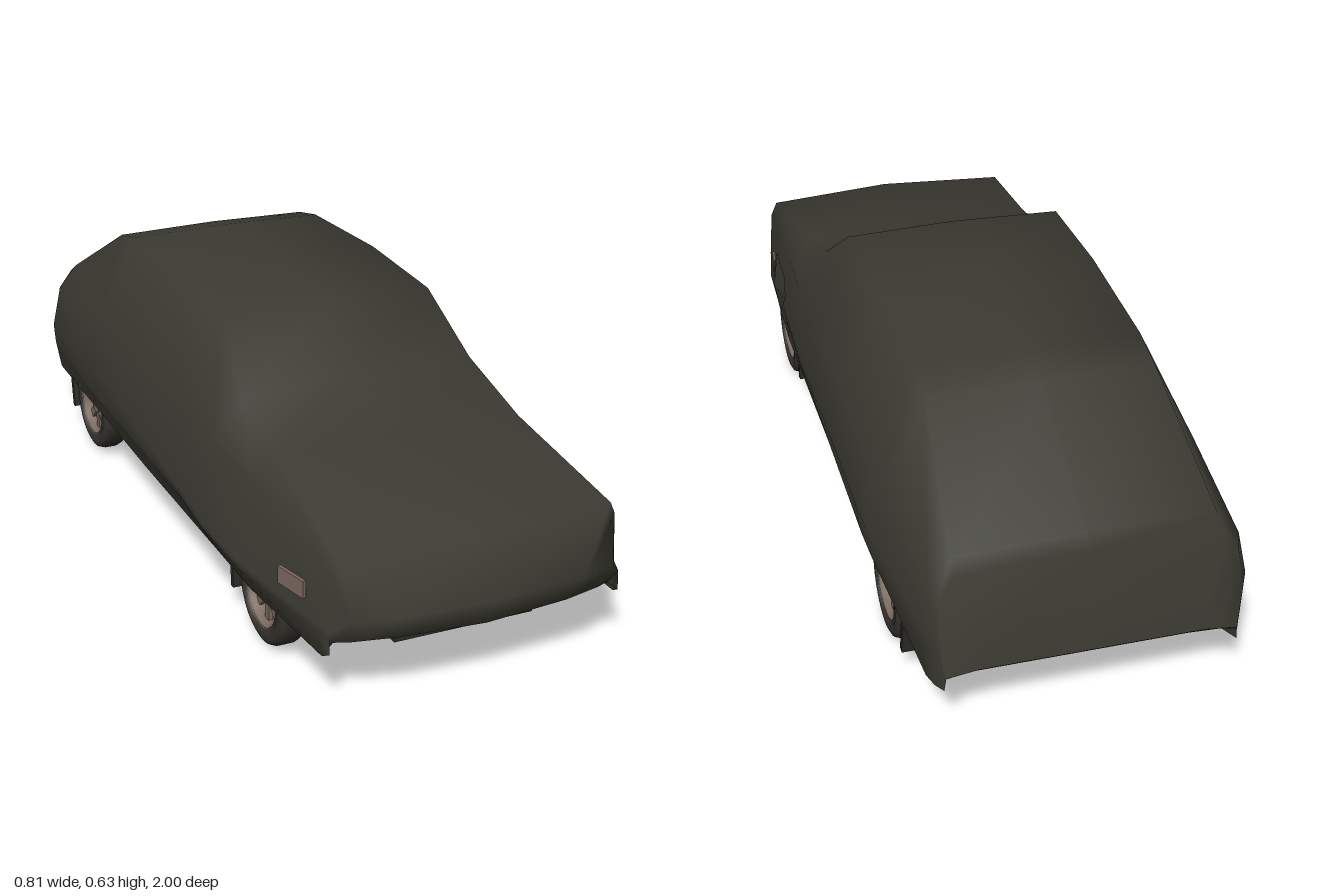
import * as THREE from 'three';

export function createModel() {
  const car = new THREE.Group();
  const mat = (name, color, side = THREE.FrontSide) => {
    const m = new THREE.MeshStandardMaterial({ color, side });
    m.name = name;
    return m;
  };
  const cloth = mat('coverCloth', 0x3b3a32, THREE.DoubleSide);
  const dark = mat('underbodyDark', 0x2d2c27);
  const rubber = mat('tyreRubber', 0x36342e);
  const metal = mat('dustyMetal', 0x7d6b60, THREE.DoubleSide);

  const add = (name, geo, material, x = 0, y = 0, z = 0, parent = car) => {
    const mesh = new THREE.Mesh(geo, material);
    mesh.name = name;
    mesh.position.set(x, y, z);
    parent.add(mesh);
    return mesh;
  };
  const box = (name, w, h, d, x, y, z, material = dark) =>
    add(name, new THREE.BoxGeometry(w, h, d), material, x, y, z);
  const rod = (name, r, points, material = dark) =>
    add(name, new THREE.TubeGeometry(new THREE.CatmullRomCurve3(
      points.map(p => new THREE.Vector3(...p))), 16, r, 8), material);

  // Draped cover: one cross-section per row, nose to tail.
  // z, bow, topY, cornerX, cornerY, beltX, beltY, wide -x, wide +x, wideY, hemX, hemY
  const sections = [
    [0.955, 0.07, 0.155, 0.2, 0.163, 0.3, 0.16, 0.335, 0.335, 0.157, 0.34, 0.148],
    [1.0, 0.09, 0.23, 0.22, 0.23, 0.315, 0.22, 0.35, 0.345, 0.19, 0.35, 0.14],
    [0.94, 0.05, 0.355, 0.325, 0.352, 0.342, 0.32, 0.362, 0.352, 0.2, 0.355, 0.125],
    [0.54, 0, 0.43, 0.305, 0.418, 0.355, 0.36, 0.408, 0.374, 0.2, 0.368, 0.113],
    [0.32, 0, 0.5, 0.295, 0.487, 0.368, 0.38, 0.406, 0.382, 0.195, 0.368, 0.117],
    [0.15, 0, 0.62, 0.268, 0.612, 0.368, 0.4, 0.402, 0.387, 0.22, 0.368, 0.12],
    [-0.15, 0, 0.635, 0.266, 0.63, 0.37, 0.4, 0.4, 0.394, 0.25, 0.368, 0.125],
    [-0.5, 0, 0.625, 0.262, 0.62, 0.367, 0.4, 0.395, 0.404, 0.285, 0.368, 0.137],
    [-0.6, 0, 0.605, 0.26, 0.6, 0.363, 0.39, 0.393, 0.4, 0.28, 0.367, 0.137],
    [-0.93, 0, 0.43, 0.29, 0.42, 0.342, 0.36, 0.366, 0.355, 0.25, 0.348, 0.12],
    [-0.965, 0, 0.405, 0.295, 0.395, 0.33, 0.34, 0.348, 0.338, 0.25, 0.338, 0.12],
    [-1.0, 0, 0.17, 0.25, 0.17, 0.29, 0.165, 0.325, 0.322, 0.16, 0.326, 0.13],
  ];
  const rows = sections.map(([z, bow, topY, cx, cy, bx, by, wl, wr, wy, hx, hy]) => {
    const half = (s, w) => {
      // The skirt point is doubled so the cloth creases above the hem
      const skirtY = Math.min(0.195, wy * 0.75 + hy * 0.25);
      const skirt = [hx + (w - hx) * Math.sqrt((skirtY - hy) / (wy - hy)), skirtY];
      return [[hx, hy], skirt, skirt, [w, wy], [bx, by], [cx, cy]].map(([x, y]) => [s * x, y]);
    };
    return [...half(1, wr), [0, topY], ...half(-1, wl).reverse()]
      .map(([x, y]) => [x, y, z - bow * (x / 0.36) ** 4]);
  });
  // Tuck the cloth under both ends, with a crease along the end rows
  const tuck = (row, y, dz) => row.map(p => [p[0] * 0.96, y, p[2] + dz]);
  const first = rows[0], last = rows[rows.length - 1];
  rows.unshift(tuck(first, 0.12, -0.12), first);
  rows.push(last, tuck(last, 0.116, 0.06));
  const n = first.length, index = [];
  for (let r = 0; r < rows.length - 1; r++) {
    for (let i = 0; i < n - 1; i++) {
      const a = r * n + i, b = a + 1, c = a + n, d = c + 1;
      index.push(a, c, b, b, c, d);
    }
  }
  const coverGeo = new THREE.BufferGeometry();
  coverGeo.setAttribute('position', new THREE.Float32BufferAttribute(rows.flat(2), 3));
  coverGeo.setIndex(index);
  coverGeo.computeVertexNormals();
  add('carCover', coverGeo, cloth);

  // Loose fold of cloth over the front wheel: a faceted fan around a raised point
  const rim = [[0.362, 0.265, 0.745], [0.366, 0.12, 0.66], [0.374, 0.16, 0.61], [0.378, 0.27, 0.5],
    [0.372, 0.31, 0.53], [0.366, 0.31, 0.68]];
  const fan = rim.flatMap((p, i) => [[0.386, 0.24, 0.635], p, rim[(i + 1) % rim.length]]);
  const foldGeo = new THREE.BufferGeometry();
  foldGeo.setAttribute('position', new THREE.Float32BufferAttribute(fan.flat(), 3));
  foldGeo.computeVertexNormals();
  add('coverFold', foldGeo, cloth);

  // Lamps showing through the cover
  box('sideLamp', 0.008, 0.04, 0.09, -0.376, 0.252, 0.785, metal).rotation.y = 0.22;
  box('lampCorner', 0.008, 0.02, 0.016, 0.366, 0.268, 0.742, metal);

  // Wheels: lathed tyre, dished rim, spokes and hub
  const lathe = points => new THREE.LatheGeometry(points.map(p => new THREE.Vector2(...p)), 28);
  const tyreGeo = lathe([[0.082, -0.03], [0.108, -0.034], [0.12, -0.028], [0.125, -0.015],
    [0.125, 0.015], [0.12, 0.028], [0.108, 0.034], [0.082, 0.03], [0.082, -0.03]]);
  const rimGeo = lathe([[0.084, -0.029], [0.074, -0.02], [0.07, 0.012], [0.077, 0.022], [0.084, 0.031]]);
  for (const s of [1, -1]) {
    for (const z of [0.582, -0.61]) {
      const wheel = new THREE.Group();
      wheel.name = z > 0 ? 'frontWheel' : 'rearWheel';
      wheel.position.set(s * 0.331, 0.125, z);
      wheel.rotation.z = -s * Math.PI / 2;
      car.add(wheel);
      add('tyre', tyreGeo, rubber, 0, 0, 0, wheel);
      add('rim', rimGeo, metal, 0, 0, 0, wheel);
      add('brakeDisc', new THREE.CylinderGeometry(0.072, 0.072, 0.01, 24), dark, 0, -0.005, 0, wheel);
      add('hub', new THREE.CylinderGeometry(0.026, 0.03, 0.018, 16), metal, 0, 0.012, 0, wheel);
      for (let i = 0; i < 8; i++) {
        const a = i * Math.PI / 4;
        const spoke = add('spoke', new THREE.BoxGeometry(0.056, 0.009, 0.022), metal,
          Math.cos(a) * 0.047, 0.011, -Math.sin(a) * 0.047, wheel);
        spoke.rotation.y = a;
      }
      // Mud flap behind each wheel
      const flap = box('mudFlap', 0.125, 0.08, 0.015, s * 0.302, 0.1, z - 0.163);
      flap.rotation.x = z > 0 ? 0 : -0.15;
    }
    // Floor sides and sills between the wheel arches
    box('floorSide', 0.1, 0.02, 0.84, s * 0.31, 0.138, -0.015);
    box('frontCornerPan', 0.06, 0.02, 0.1, s * 0.29, 0.138, 0.77);
    box('rearCornerPan', 0.075, 0.02, 0.16, s * 0.295, 0.135, -0.86);
    box('sill', 0.016, 0.012, 0.8, s * 0.35, 0.129, -0.015, metal);
    // Chassis rails, floor panels and suspension arms
    box('frontRail', 0.04, 0.03, 0.45, s * 0.2, 0.118, 0.6);
    box('floorRail', 0.035, 0.02, 0.6, s * 0.22, 0.12, 0);
    box('floorPanel', 0.1, 0.02, 0.38, s * 0.13, 0.11, 0.23);
    box('rearRail', 0.04, 0.03, 0.5, s * 0.22, 0.13, -0.65);
    box('trailingArm', 0.025, 0.022, 0.3, s * 0.25, 0.12, -0.48);
    rod('frontArm', 0.012, [[s * 0.12, 0.1, 0.54], [s * 0.22, 0.1, 0.57], [s * 0.3, 0.11, 0.582]]);
    rod('steeringLink', 0.007, [[s * 0.08, 0.12, 0.49], [s * 0.3, 0.12, 0.52]]);
    const damper = add('rearDamper', new THREE.CylinderGeometry(0.018, 0.018, 0.1, 12), dark, s * 0.24, 0.155, -0.67);
    damper.rotation.x = 0.4;
  }

  // Central floor and transmission tunnel
  box('floor', 0.53, 0.02, 1.76, 0, 0.145, -0.05);
  box('tunnel', 0.08, 0.035, 0.75, 0, 0.125, 0.03);
  for (const z of [0.38, -0.18, -0.38]) box('crossmember', 0.5, 0.022, 0.035, 0, 0.122, z);

  // Engine, gearbox and front subframe
  box('sump', 0.15, 0.05, 0.15, 0.05, 0.115, 0.63);
  const gearbox = add('gearbox', new THREE.CylinderGeometry(0.05, 0.06, 0.18, 14), dark, -0.07, 0.152, 0.62);
  gearbox.rotation.z = Math.PI / 2;
  box('frontSubframe', 0.48, 0.025, 0.05, 0, 0.093, 0.5);
  box('frontUndertray', 0.34, 0.022, 0.08, 0, 0.108, 0.82);
  for (const [w, x] of [[0.08, -0.13], [0.13, 0.095]]) box('subframeStrip', w, 0.006, 0.004, x, 0.086, 0.526, metal);

  // Rear axle, fuel tank and spare wheel well
  rod('rearAxle', 0.018, [[-0.31, 0.13, -0.61], [0, 0.125, -0.61], [0.31, 0.13, -0.61]]);
  box('fuelTank', 0.3, 0.04, 0.15, 0.02, 0.132, -0.48);
  add('spareWell', new THREE.CylinderGeometry(0.12, 0.11, 0.035, 24), dark, 0.04, 0.135, -0.8);

  // Exhaust from engine to tail
  rod('exhaustPipe', 0.01, [[0.02, 0.11, 0.55], [-0.05, 0.11, 0.4], [-0.06, 0.112, 0], [-0.1, 0.122, -0.35],
    [-0.17, 0.115, -0.56], [-0.18, 0.13, -0.94]]);
  const silencer = add('silencer', new THREE.CylinderGeometry(0.026, 0.026, 0.18, 14), dark, -0.175, 0.136, -0.8);
  silencer.rotation.x = Math.PI / 2;

  return car;
}
